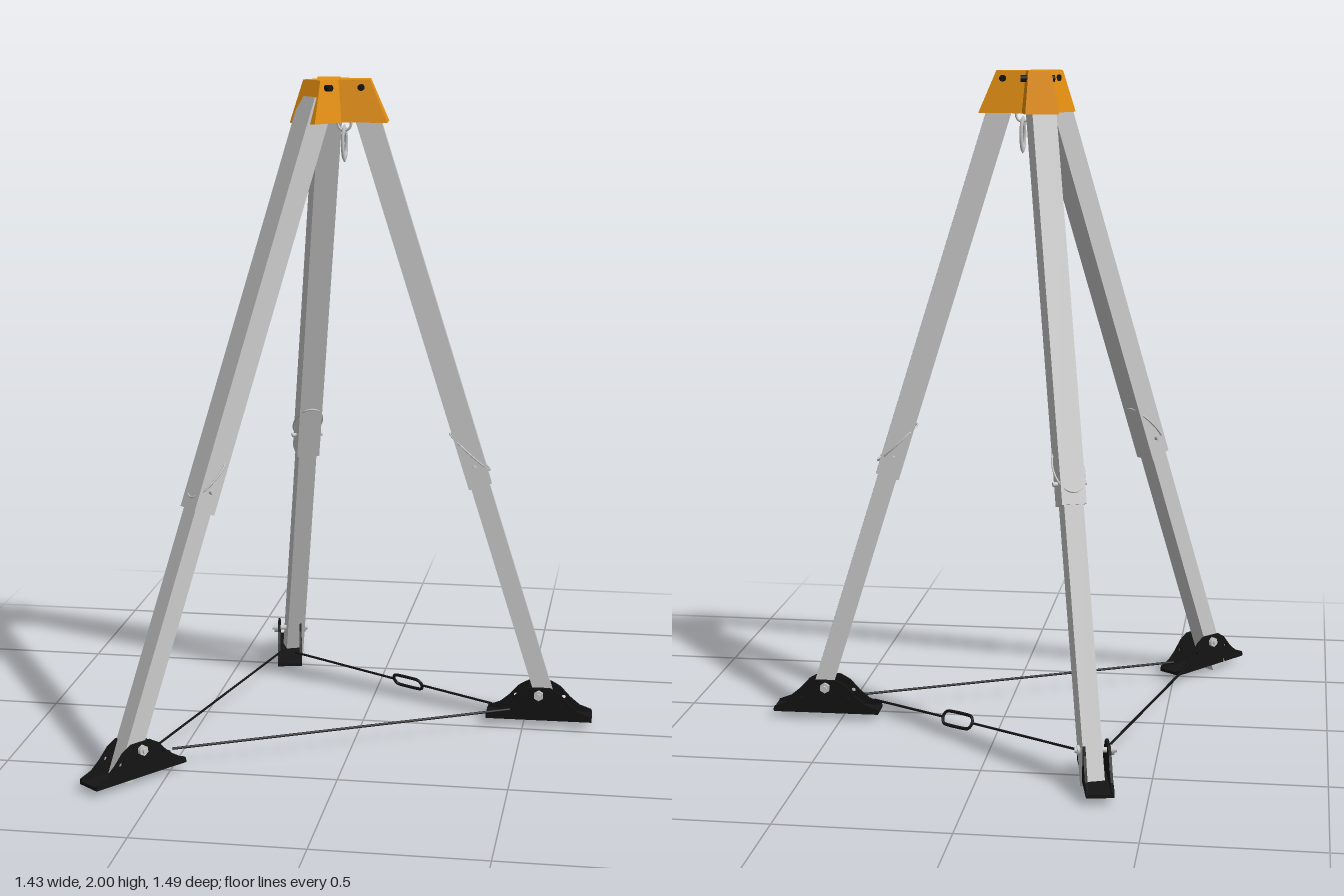
import * as THREE from 'three';

const V = (x, y, z) => new THREE.Vector3(x, y, z);
const mat = (color) => new THREE.MeshStandardMaterial({ color });
const grey = mat(0xcccccc);
const black = mat(0x141414);
const orange = mat(0xe8920f);

function add(parent, name, geometry, material) {
  const mesh = new THREE.Mesh(geometry, material);
  mesh.name = name;
  parent.add(mesh);
  return mesh;
}

// Cylinder between two points
function rod(parent, name, a, b, radius, material, sides = 10) {
  const mesh = add(parent, name, new THREE.CylinderGeometry(radius, radius, a.distanceTo(b), sides), material);
  mesh.position.copy(a).add(b).multiplyScalar(0.5);
  mesh.quaternion.setFromUnitVectors(V(0, 1, 0), b.clone().sub(a).normalize());
  return mesh;
}

// Each leg: axis points at two heights, foot centre and heading, head bolt position and heading
const legs = [
  { top: V(0.02, 1.87, 0.01), low: V(0.555, 0.12, -0.065), foot: [0.548, -0.065], dir: [1, -0.02], bolt: [0, 0.005] },
  { top: V(-0.12, 1.87, -0.07), low: V(-0.325, 0.12, -0.577), foot: [-0.342, -0.575], dir: [-0.18, -0.98], bolt: [-0.108, -0.06] },
  { top: V(-0.145, 1.87, 0.095), low: V(-0.595, 0.12, 0.59), foot: [-0.588, 0.59], dir: [-0.607, 0.795], bolt: [-0.12, 0.073] },
];

function buildLeg({ top, low }) {
  const group = new THREE.Group();
  group.name = 'leg';
  const at = (y) => top.clone().lerp(low, (top.y - y) / (top.y - low.y));
  const up = top.clone().sub(low).normalize();
  const out = V(low.x - top.x, 0, low.z - top.z).normalize();
  const side = V(0, 1, 0).cross(out).normalize();
  const normal = up.clone().cross(side).normalize();
  const basis = new THREE.Matrix4().makeBasis(normal, up, side.clone().negate());
  if (basis.determinant() < 0) basis.makeBasis(normal, up, side);
  const tube = (name, y0, y1, w) => {
    const a = at(y0), b = at(y1);
    const mesh = add(group, name, new THREE.BoxGeometry(w, a.distanceTo(b), w), grey);
    mesh.quaternion.setFromRotationMatrix(basis);
    mesh.position.copy(a).add(b).multiplyScalar(0.5);
  };
  tube('upperTube', 0.77, 1.94, 0.073);
  tube('lowerTube', 0.009, 0.8, 0.058);

  // Locking pin with its tilted wire loop
  const pin = at(0.83);
  rod(group, 'lockingPin', pin.clone().addScaledVector(side, -0.05), pin.clone().addScaledVector(side, 0.05), 0.007, grey);
  const mid = at(0.872);
  const points = [];
  for (let i = 0; i < 16; i++) {
    const a = (i / 16) * Math.PI * 2;
    points.push(mid.clone()
      .addScaledVector(out, 0.062 * Math.cos(a))
      .addScaledVector(V(0, 1, 0), -0.056 * Math.cos(a))
      .addScaledVector(side, 0.046 * Math.sin(a)));
  }
  add(group, 'pinWire', new THREE.TubeGeometry(new THREE.CatmullRomCurve3(points, true), 48, 0.003, 6, true), grey);
  return group;
}

function buildFoot({ foot, dir }) {
  const group = new THREE.Group();
  group.name = 'foot';
  // Humped side plates
  const half = [[0.165, 0.02], [0.163, 0.036], [0.125, 0.05], [0.095, 0.075], [0.065, 0.108], [0.035, 0.125]];
  const outline = [...half, ...half.map(([x, y]) => [-x, y]).reverse()];
  const shape = new THREE.Shape(outline.map(([x, y]) => new THREE.Vector2(x, y)));
  for (const s of [-1, 1]) {
    shape.holes.push(new THREE.Path().absarc(s * 0.075, 0.075, 0.007, 0, Math.PI * 2, true));
  }
  const plate = new THREE.ExtrudeGeometry(shape, { depth: 0.008, bevelEnabled: false, curveSegments: 6 });
  for (const z of [-0.04, 0.032]) add(group, 'sidePlate', plate, black).position.z = z;
  add(group, 'basePlate', new THREE.BoxGeometry(0.33, 0.01, 0.08), black).position.y = 0.025;
  // Pivot bolt with head and nut
  rod(group, 'pivotBolt', V(0, 0.103, -0.06), V(0, 0.103, 0.06), 0.008, grey);
  for (const s of [-1, 1]) rod(group, 'pivotNut', V(0, 0.103, s * 0.041), V(0, 0.103, s * 0.053), 0.016, grey, 6);
  group.position.set(foot[0], 0, foot[1]);
  group.rotation.y = Math.atan2(-dir[1], dir[0]);
  return group;
}

// Three-armed tapered cap
function buildHead() {
  const group = new THREE.Group();
  group.name = 'head';
  const cx = -0.09, cz = 0.015;
  const ring = [
    [0.08, 0.05], [0.072, -0.042], [-0.06, -0.055], [-0.08, -0.13], [-0.18, -0.13],
    [-0.158, 0.015], [-0.205, 0.09], [-0.12, 0.15], [-0.055, 0.065],
  ];
  const pos = [];
  const n = ring.length;
  const pt = (i, isTop) => {
    const [x, z] = ring[i % n];
    const k = isTop ? 0.68 : 1;
    return [cx + (x - cx) * k, isTop ? 2 : 1.875, cz + (z - cz) * k];
  };
  for (let i = 0; i < n; i++) {
    const a = pt(i, false), b = pt(i + 1, false), c = pt(i + 1, true), d = pt(i, true);
    pos.push(...a, ...b, ...c, ...a, ...c, ...d);
    pos.push(...d, ...c, cx, 2, cz, ...b, ...a, cx, 1.875, cz);
  }
  const geometry = new THREE.BufferGeometry();
  geometry.setAttribute('position', new THREE.Float32BufferAttribute(pos, 3));
  geometry.computeVertexNormals();
  add(group, 'cap', geometry, orange);

  for (const { bolt, dir } of legs) {
    const p = V(bolt[0], 1.977, bolt[1]);
    const side = V(-dir[1], 0, dir[0]).normalize().multiplyScalar(0.051);
    rod(group, 'capBolt', p.clone().sub(side), p.clone().add(side), 0.01, black);
  }

  // Hanging eye and hook below the cap
  add(group, 'eye', new THREE.TorusGeometry(0.02, 0.004, 6, 20), grey).position.set(-0.055, 1.868, 0.01);
  const link = add(group, 'hook', new THREE.TorusGeometry(0.014, 0.005, 6, 20), grey);
  link.scale.set(1, 3, 1);
  link.rotation.y = Math.PI / 2.4;
  link.position.set(-0.055, 1.81, 0.01);
  return group;
}

function buildRopes() {
  const group = new THREE.Group();
  group.name = 'ropes';
  const y = 0.055;
  const a = V(0.4, y, -0.06), b = V(-0.3, y, -0.455);
  const l0 = V(0.06, y, -0.247), l1 = V(0.165, y, -0.192);
  rod(group, 'rope', a, l1, 0.004, black, 6);
  rod(group, 'rope', l0, b, 0.004, black, 6);
  rod(group, 'rope', V(0.46, y, -0.015), V(-0.5, y, 0.472), 0.004, black, 6);
  rod(group, 'rope', V(-0.345, y, -0.48), V(-0.565, y, 0.51), 0.004, black, 6);

  // Oblong snap link joining the split rope
  const points = [[-0.055, 0], [-0.042, 0.018], [0.042, 0.018], [0.055, 0], [0.042, -0.018], [-0.042, -0.018]]
    .map(([x, h]) => V(x, h, h * 0.5));
  const curve = new THREE.CatmullRomCurve3(points, true, 'catmullrom', 0.3);
  const snap = add(group, 'snapLink', new THREE.TubeGeometry(curve, 48, 0.005, 6, true), black);
  snap.position.copy(l0).add(l1).multiplyScalar(0.5);
  snap.rotation.y = -Math.atan2(l1.z - l0.z, l1.x - l0.x);
  return group;
}

export function createModel() {
  const model = new THREE.Group();
  model.name = 'tripod';
  for (const leg of legs) model.add(buildLeg(leg), buildFoot(leg));
  model.add(buildHead(), buildRopes());
  return model;
}
